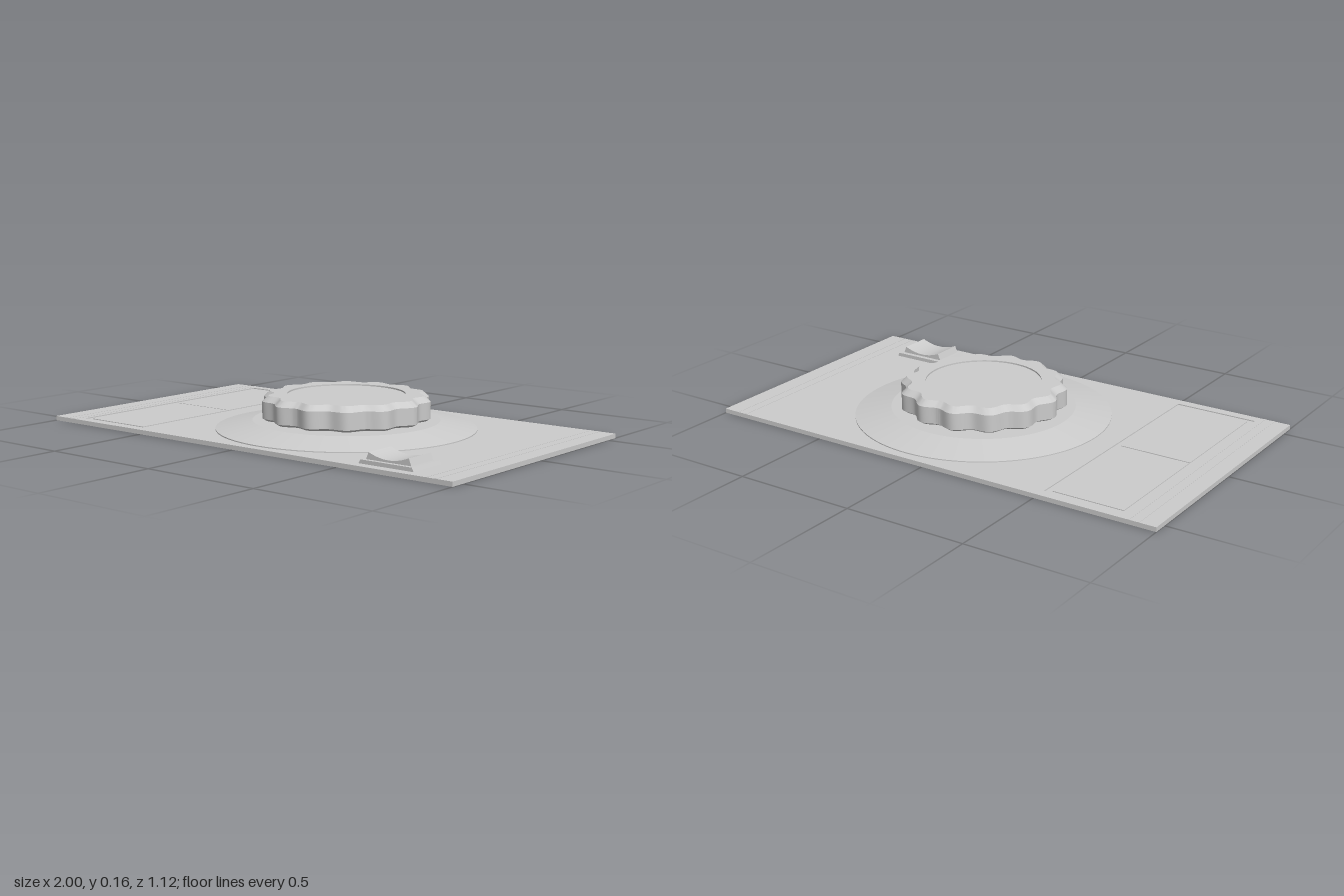
import * as THREE from 'three';
import { toCreasedNormals } from 'three/addons/utils/BufferGeometryUtils.js';

const material = new THREE.MeshStandardMaterial({ color: 0xcccccc });
const TOP = 0.018; // upper face of the plate
const KNOB_X = 0.1;

function add(parent, name, geometry, x = 0, y = 0, z = 0) {
  const mesh = new THREE.Mesh(geometry, material);
  mesh.name = name;
  mesh.position.set(x, y, z);
  parent.add(mesh);
  return mesh;
}

function box(parent, name, w, h, d, x, y, z) {
  return add(parent, name, new THREE.BoxGeometry(w, h, d), x, y + h / 2, z);
}

function rectangle(Type, x0, x1, z0, z1) {
  const s = new Type();
  s.moveTo(x0, z0).lineTo(x1, z0).lineTo(x1, z1).lineTo(x0, z1).closePath();
  return s;
}

function lathe(profile, segments) {
  return new THREE.LatheGeometry(profile.map(([r, y]) => new THREE.Vector2(r, y)), segments);
}

// Lathed knob whose outer rings are pulled in between 14 grip lobes
function knobGeometry() {
  const geometry = lathe([
    [0, 0.058], [0.325, 0.058], [0.34, 0.067], [0.34, 0.135], [0.315, 0.157],
    [0.235, 0.157], [0.235, 0.151], [0, 0.151],
  ], 224);
  const p = geometry.attributes.position;
  for (let i = 0; i < p.count; i++) {
    const x = p.getX(i), z = p.getZ(i), r = Math.hypot(x, z);
    if (r < 0.3) continue;
    const k = 1 - 0.013 * (1 - Math.cos(14 * Math.atan2(z, x))) / r;
    p.setX(i, x * k);
    p.setZ(i, z * k);
  }
  return toCreasedNormals(geometry, 0.35);
}

export function createModel() {
  const model = new THREE.Group();
  model.name = 'controlPanel';

  // Plate: solid base with a shallow recessed bay in its top layer
  box(model, 'plateBase', 2, 0.014, 1.12, 0, 0, 0);
  const layer = rectangle(THREE.Shape, -1, 1, -0.56, 0.56);
  layer.holes.push(rectangle(THREE.Path, -0.865, -0.52, -0.52, 0.52));
  const layerGeometry = new THREE.ExtrudeGeometry(layer, { depth: 0.004, bevelEnabled: false });
  add(model, 'plateTop', layerGeometry.rotateX(-Math.PI / 2), 0, 0.014, 0);

  // Two flush panels in the bay
  for (const side of [-1, 1]) {
    box(model, 'bayPanel', 0.295, 0.003, 0.498, -0.692, 0.014, side * 0.252);
  }

  // Thin trim lines near both ends
  for (const x of [-0.93, -0.89, 0.89, 0.93]) {
    box(model, 'trimLine', 0.006, 0.001, 1.12, x, TOP, 0);
  }

  // Low conical skirt and short stem under the knob
  add(model, 'knobSkirt', toCreasedNormals(lathe([
    [0.522, 0.016], [0.522, 0.022], [0.375, 0.053], [0, 0.053],
  ], 96), 0.15), KNOB_X);
  add(model, 'knobStem', new THREE.CylinderGeometry(0.28, 0.28, 0.008, 64), KNOB_X, 0.056, 0);
  add(model, 'knob', knobGeometry(), KNOB_X);

  // Rocker switch: stepped base and a concave cap
  const rocker = new THREE.Group();
  rocker.name = 'rockerSwitch';
  rocker.position.set(0.69, 0, 0.437);
  model.add(rocker);
  const base = box(rocker, 'rockerBase', 0.24, 0.015, 0.168, 0, TOP, 0);
  const p = base.geometry.attributes.position;
  for (let i = 0; i < p.count; i++) {
    if (p.getY(i) > 0) p.setX(i, p.getX(i) * 0.94);
  }
  base.geometry.computeVertexNormals();
  const cap = new THREE.Shape();
  cap.moveTo(-0.1, 0.03).lineTo(0.1, 0.03).lineTo(0.088, 0.06);
  cap.quadraticCurveTo(0, 0.022, -0.088, 0.06);
  cap.closePath();
  const capGeometry = new THREE.ExtrudeGeometry(cap, { depth: 0.132, bevelEnabled: false, curveSegments: 16 });
  add(rocker, 'rockerCap', toCreasedNormals(capGeometry, 0.4), 0, 0, -0.064);

  return model;
}
